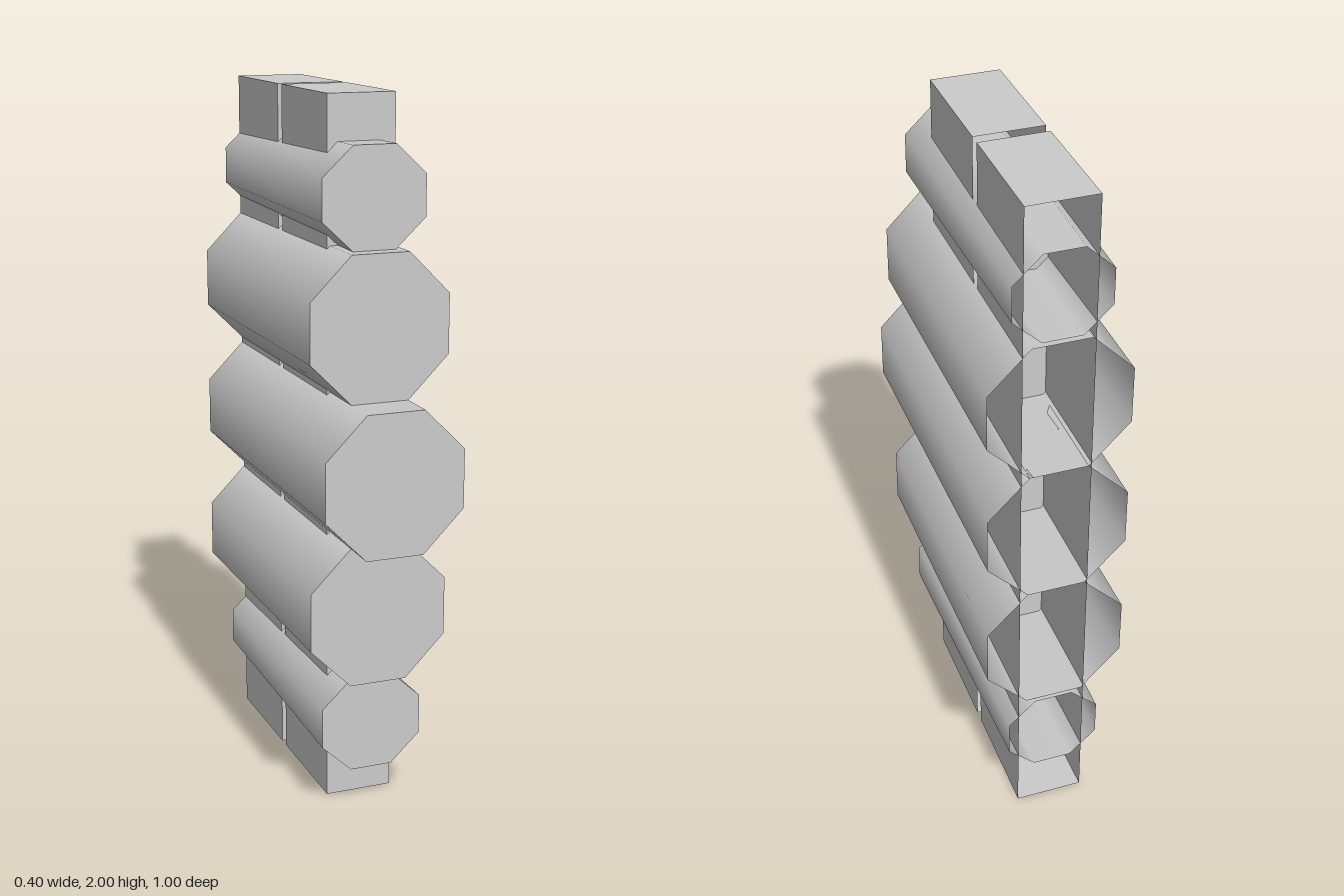
import * as THREE from 'three';
import { mergeGeometries } from 'three/addons/utils/BufferGeometryUtils.js';

const BACK = -0.5;
const material = new THREE.MeshStandardMaterial({ color: 0xcccccc, side: THREE.DoubleSide });

// Eight-sided tube with flats up and down: capped in front, open at the back.
// halfWidth and halfHeight are measured at the front; taper scales the back end.
function octagonTube(name, y, front, halfWidth, halfHeight, taper = 1) {
  const length = front - BACK;
  const r = 1 / Math.cos(Math.PI / 8);
  const side = new THREE.CylinderGeometry(r, r * taper, length, 8, 1, true, Math.PI / 8);
  side.rotateX(Math.PI / 2);
  const cap = new THREE.CircleGeometry(r, 8, Math.PI / 8);
  cap.translate(0, 0, length / 2);
  const geometry = mergeGeometries([side, cap]);
  geometry.scale(halfWidth, halfHeight, 1);
  const mesh = new THREE.Mesh(geometry, material);
  mesh.name = name;
  mesh.position.set(0, y, (front + BACK) / 2);
  return mesh;
}

// Tall box shell with its back face left off
function spineBox(name, back, front) {
  const geometry = new THREE.BoxGeometry(0.195, 2, front - back);
  geometry.setIndex(Array.from(geometry.index.array).slice(0, 30));
  geometry.clearGroups();
  const mesh = new THREE.Mesh(geometry, material);
  mesh.name = name;
  mesh.position.set(0.0075, 1, (front + back) / 2);
  return mesh;
}

export function createModel() {
  const model = new THREE.Group();
  model.name = 'tubeStack';

  // Two spine boxes with a narrow gap between them
  model.add(spineBox('rearSpine', BACK, -0.154));
  model.add(spineBox('frontSpine', -0.122, 0.23));

  // Longest tube in the middle, shorter ones mirrored above and below
  model.add(octagonTube('middleTube', 1, 0.5, 0.198, 0.2));
  for (const [label, s] of [['upper', 1], ['lower', -1]]) {
    model.add(octagonTube(label + 'LargeTube', 1 + s * 0.4, 0.388, 0.198, 0.2));
    model.add(octagonTube(label + 'SmallTube', 1 + s * 0.738, 0.342, 0.147, 0.138, 0.91));
  }
  return model;
}
